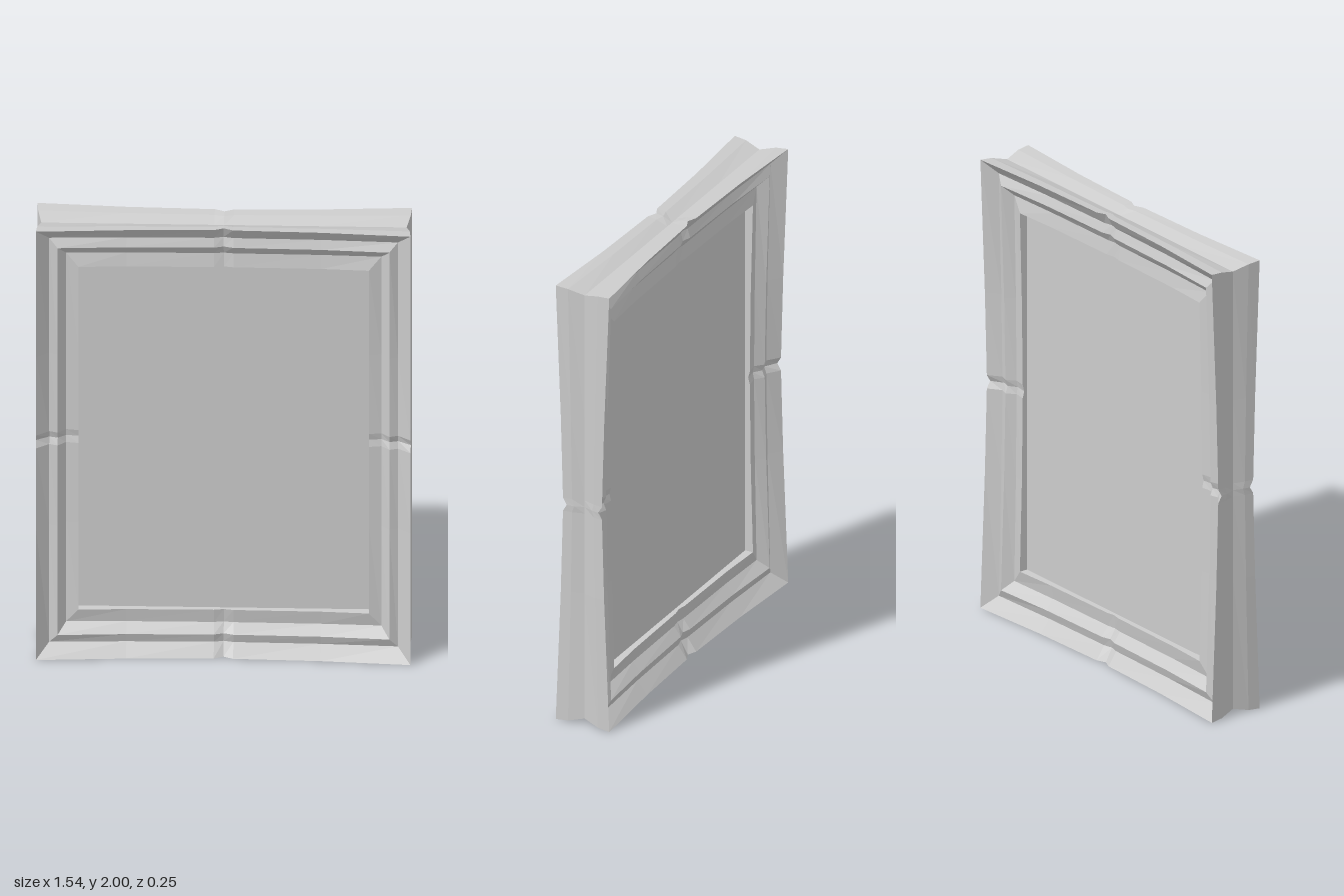
import * as THREE from 'three';

const HALF_W = 0.77, HALF_H = 1;

// Front half of the moulding: [inset in x, inset in y, z], from outer groove to inner lip
const FRONT = [
  [0.019, 0.024, 0], [0.004, 0.005, 0.07], [0, 0, 0.125], [0.053, 0.057, 0.07],
  [0.088, 0.097, 0.086], [0.122, 0.139, 0.043], [0.173, 0.2, 0.054],
];
// Closed profile: the back half mirrors the front half
const PROFILE = [...FRONT, ...FRONT.slice(1).reverse().map(([x, y, z]) => [x, y, -z])];

// Depth of the moulding thins from the corners to a notch at mid-rail
const depthScale = (d, notch) => (d < notch / 2 ? 0.59 : d <= notch ? 0.73 : d <= 0.4 ? 0.81 : 1);

// One mitred rail; (dx, dy) is the outward direction of its side
function rail(name, dx, dy, material) {
  const notch = dx ? 0.03 : 0.04;
  const stops = [-Infinity, -0.4, -notch, 0, notch, 0.4, Infinity];
  const point = (t, [ix, iy, z]) => {
    const x = HALF_W - ix, y = HALF_H - iy;
    const limit = dx ? y : x;
    const s = THREE.MathUtils.clamp(t, -limit, limit);
    return [dx * x - dy * s, dy * y + dx * s + HALF_H, z * depthScale(Math.abs(t), notch)];
  };
  const positions = [];
  for (let i = 0; i < stops.length - 1; i++) {
    PROFILE.forEach((p, j) => {
      const q = PROFILE[(j + 1) % PROFILE.length];
      const a = point(stops[i], p), b = point(stops[i + 1], p);
      const c = point(stops[i + 1], q), d = point(stops[i], q);
      positions.push(...a, ...b, ...c, ...a, ...c, ...d);
    });
  }
  const geometry = new THREE.BufferGeometry();
  geometry.setAttribute('position', new THREE.Float32BufferAttribute(positions, 3));
  geometry.computeVertexNormals();
  const mesh = new THREE.Mesh(geometry, material);
  mesh.name = name;
  return mesh;
}

export function createModel() {
  const group = new THREE.Group();
  group.name = 'pictureFrame';
  const material = new THREE.MeshStandardMaterial({ color: 0xcccccc, flatShading: true });

  // Four moulded rails
  group.add(
    rail('leftRail', 1, 0, material),
    rail('topRail', 0, 1, material),
    rail('rightRail', -1, 0, material),
    rail('bottomRail', 0, -1, material),
  );

  // Flat panel held inside the rails
  const panel = new THREE.Mesh(new THREE.BoxGeometry(1.22, 1.63, 0.034), material);
  panel.name = 'panel';
  panel.position.y = HALF_H;
  group.add(panel);

  return group;
}
